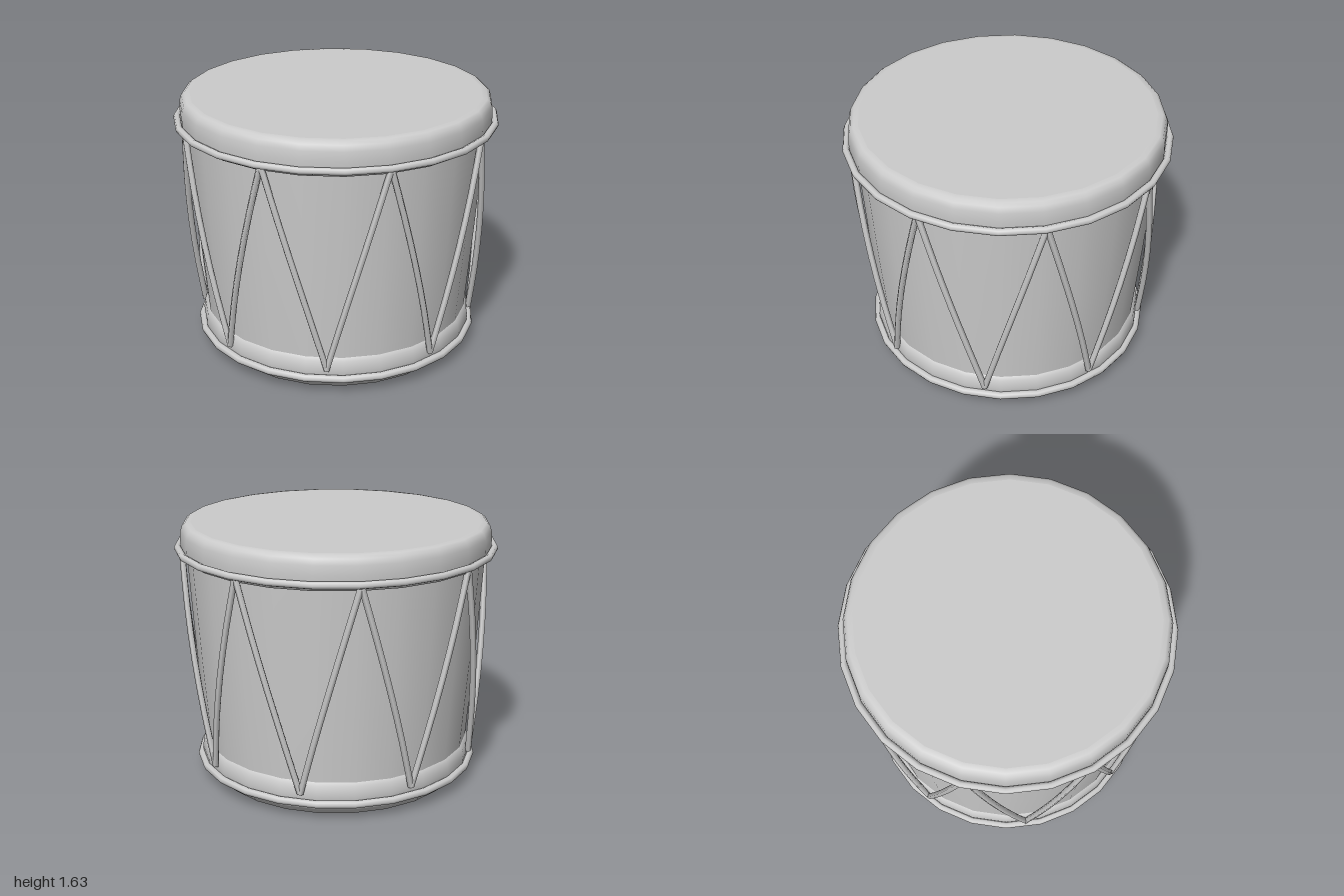
import * as THREE from 'three';

const SIDES = 24;

export function createModel() {
  const drum = new THREE.Group();
  drum.name = 'drum';
  const grey = new THREE.MeshStandardMaterial({ color: 0xcccccc });
  grey.name = 'plain grey';

  const add = (name, geometry, parent = drum) => {
    const mesh = new THREE.Mesh(geometry, grey);
    mesh.name = name;
    parent.add(mesh);
    return mesh;
  };
  // profile points are [radius, height], listed from bottom to top
  const lathe = (name, points) =>
    add(name, new THREE.LatheGeometry(points.map(p => new THREE.Vector2(...p)), SIDES));
  const disc = (name, radius, y, up) => {
    const mesh = add(name, new THREE.CircleGeometry(radius, SIDES));
    mesh.rotation.set(up ? -Math.PI / 2 : Math.PI / 2, 0, 0);
    mesh.position.y = y;
  };
  const hoop = (name, radius, tube, y) => {
    const mesh = add(name, new THREE.TorusGeometry(radius, tube, 8, SIDES));
    mesh.rotation.x = Math.PI / 2;
    mesh.position.y = y;
  };

  // Tapered shell
  lathe('shell', [[0.835, 0.15], [0.885, 0.8], [0.925, 1.46]]);

  // Top skin folded over the rim
  lathe('topSkinRim', [[0.92, 1.432], [0.95, 1.43], [0.957, 1.46], [0.96, 1.52],
    [0.957, 1.575], [0.945, 1.61], [0.925, 1.626], [0.895, 1.63]]);
  disc('topSkin', 0.895, 1.63, true);
  hoop('topHoop', 0.978, 0.022, 1.47);

  // Bottom skin folded up over the shell
  lathe('bottomSkinRim', [[0.83, 0.052], [0.86, 0.07], [0.868, 0.15], [0.86, 0.21], [0.838, 0.23]]);
  lathe('bottomBevel', [[0.785, 0], [0.83, 0.045], [0.835, 0.056]]);
  disc('bottomSkin', 0.785, 0, false);
  hoop('bottomHoop', 0.876, 0.024, 0.102);

  // Zigzag cords, bowed around the shell
  const cords = new THREE.Group();
  cords.name = 'cords';
  drum.add(cords);
  const topY = 1.46, bottomY = 0.16;
  for (let i = 0; i < 8; i++) {
    const topAngle = THREE.MathUtils.degToRad(16 + 45 * i);
    for (const side of [-1, 1]) {
      const points = [];
      for (let k = 0; k <= 4; k++) {
        const t = k / 4;
        const a = topAngle + side * t * Math.PI / 8;
        const r = THREE.MathUtils.lerp(0.95, 0.87, t) + 0.012 * Math.sin(Math.PI * t);
        points.push(new THREE.Vector3(r * Math.sin(a), THREE.MathUtils.lerp(topY, bottomY, t), r * Math.cos(a)));
      }
      add('cord', new THREE.TubeGeometry(new THREE.CatmullRomCurve3(points), 8, 0.02, 5), cords);
    }
  }
  return drum;
}
